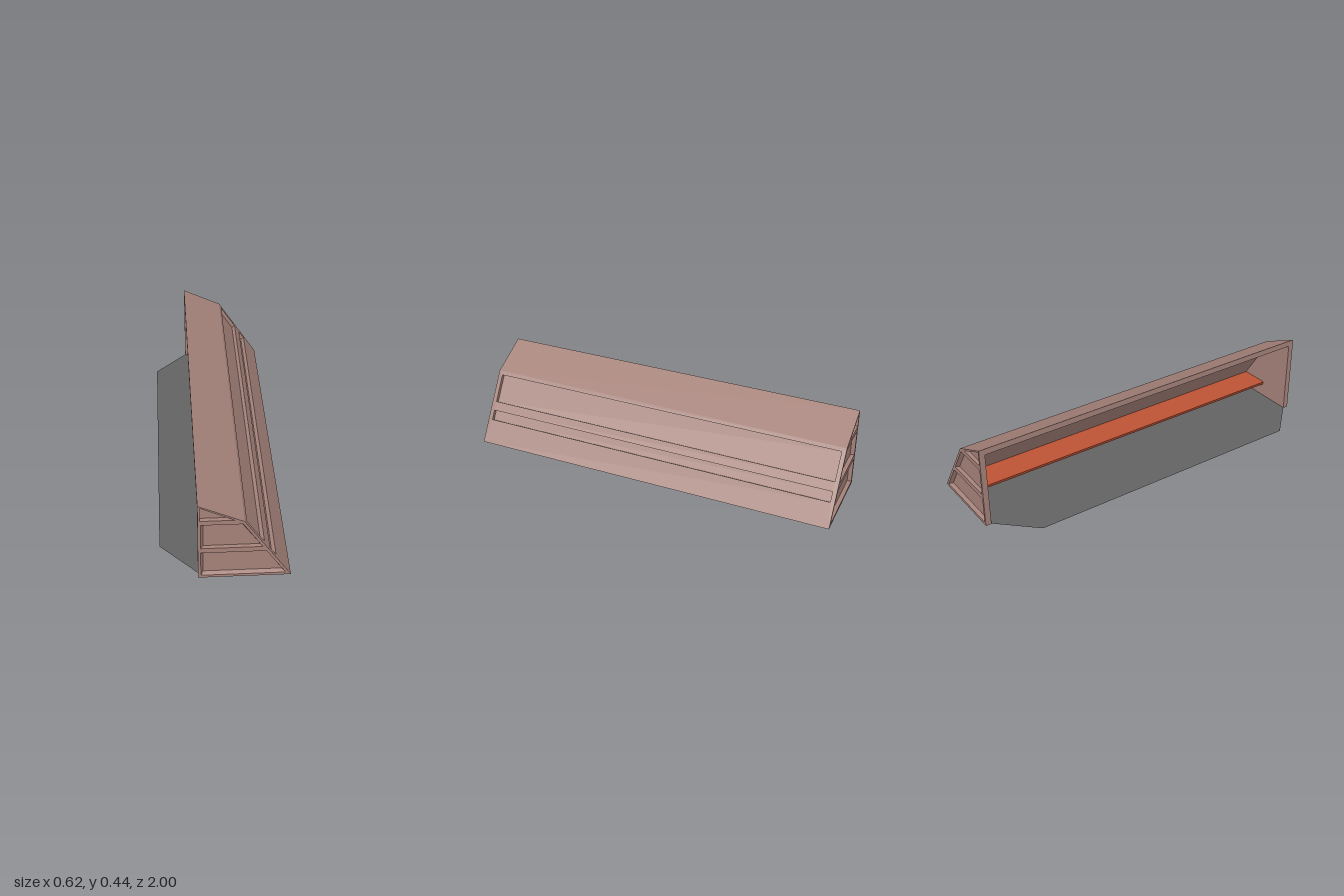
import * as THREE from 'three';
import { mergeGeometries } from 'three/addons/utils/BufferGeometryUtils.js';

const V = (x, y, z = 0) => new THREE.Vector3(x, y, z);
const toShape = (pts) => new THREE.Shape(pts.map(([x, y]) => new THREE.Vector2(x, y)));
const mirrorX = (pts) => pts.map(([x, y]) => [-x, y]);
const DEPTH = 0.02, HALF = 1, INNER = 0.97, BACK = -0.13;

// Flat face in local xy (facing +z) with sunken, optionally bevelled, recesses
function face(outline, recesses, u, v, origin) {
  const parts = [];
  const add = (g) => {
    g = g.index ? g.toNonIndexed() : g;
    g.deleteAttribute('uv');
    g.deleteAttribute('normal');
    parts.push(g);
  };
  const shape = toShape(outline);
  for (let [rim, bed] of recesses) {
    if (THREE.ShapeUtils.isClockWise(rim.map(([x, y]) => ({ x, y })))) {
      rim = [...rim].reverse();
      bed = [...bed].reverse();
    }
    shape.holes.push(toShape(rim));
    add(new THREE.ShapeGeometry(toShape(bed)).translate(0, 0, -DEPTH));
    const walls = [];
    rim.forEach((p, i) => {
      const j = (i + 1) % rim.length;
      const a = [...p, 0], b = [...rim[j], 0], c = [...bed[j], -DEPTH], d = [...bed[i], -DEPTH];
      walls.push(...a, ...b, ...c, ...a, ...c, ...d);
    });
    add(new THREE.BufferGeometry().setAttribute('position', new THREE.Float32BufferAttribute(walls, 3)));
  }
  add(new THREE.ShapeGeometry(shape));
  const n = u.clone().cross(v);
  const geo = mergeGeometries(parts);
  geo.applyMatrix4(new THREE.Matrix4().makeBasis(u, v, n).setPosition(origin));
  geo.computeVertexNormals();
  return geo;
}

const rect = (w, y0, y1) => [[-w, y0], [w, y0], [w, y1], [-w, y1]];

// Long strip along z from profile point a to b
function strip(a, b, half, recesses = []) {
  const d = V(b[0] - a[0], b[1] - a[1]);
  return face(rect(half, 0, d.length()), recesses, V(0, 0, -1), d.clone().normalize(), V(a[0], a[1]));
}

// U-shaped wall edge around an opening
const uShape = (h, hIn) => [[-HALF, 0], [-INNER, 0], [-INNER, hIn], [INNER, hIn],
  [INNER, 0], [HALF, 0], [HALF, h], [-HALF, h]];

export function createModel() {
  const group = new THREE.Group();
  const mat = (color) => new THREE.MeshStandardMaterial({ color, side: THREE.DoubleSide, flatShading: true });
  const wallMat = mat(0xa5827a), floorMat = mat(0x626262), shelfMat = mat(0xbd5235);
  const add = (name, geo, material) => {
    const mesh = new THREE.Mesh(geo, material);
    mesh.name = name;
    group.add(mesh);
  };

  // Cross-section of the shell, outside and inside
  const toe = [0.31, 0], knee = [0.085, 0.343], peak = [BACK, 0.443], heel = [BACK, 0];
  const toeIn = [0.274, 0], kneeIn = [0.064, 0.32], peakIn = [BACK, 0.41];
  const outer = [heel, toe, knee, peak], inner = [heel, toeIn, kneeIn, peakIn];

  // Recesses of the end walls: rim and bed outlines
  const endRecesses = [
    [[[-0.117, 0.015], [0.284, 0.015], [0.19, 0.157], [-0.117, 0.157]],
      [[-0.105, 0.023], [0.268, 0.023], [0.181, 0.156], [-0.105, 0.156]]],
    [[[-0.117, 0.185], [0.172, 0.185], [0.079, 0.328], [-0.117, 0.328]],
      [[-0.105, 0.186], [0.162, 0.186], [0.075, 0.314], [-0.105, 0.314]]],
    [[[-0.12, 0.353], [0.04, 0.353], [-0.12, 0.43]],
      [[-0.119, 0.354], [0.038, 0.354], [-0.119, 0.429]]],
  ];

  // End walls, outside and inside faces
  const X = V(1, 0, 0), XN = V(-1, 0, 0), Y = V(0, 1, 0);
  const mirrored = endRecesses.map((r) => r.map(mirrorX));
  add('frontEndWall', mergeGeometries([
    face(outer, endRecesses, X, Y, V(0, 0, HALF)),
    face(mirrorX(inner), [], XN, Y, V(0, 0, INNER))]), wallMat);
  add('backEndWall', mergeGeometries([
    face(mirrorX(outer), mirrored, XN, Y, V(0, 0, -HALF)),
    face(inner, [], X, Y, V(0, 0, -INNER))]), wallMat);

  // Sloping side wall with two long recesses
  const rise = 0.343 / Math.hypot(0.225, 0.343);
  const bands = [[0.11, 0.155], [0.197, 0.325]].map(([lo, hi]) => {
    const r = rect(0.977, lo / rise, hi / rise);
    return [r, r];
  });
  add('slopingWall', mergeGeometries([
    strip(toe, knee, HALF, bands), strip(kneeIn, toeIn, INNER)]), wallMat);

  // Roof
  add('roof', mergeGeometries([
    strip(knee, peak, HALF), strip(peakIn, kneeIn, INNER)]), wallMat);

  // Wall edges around the open side and along the bottom
  add('openingEdge', face(uShape(0.443, 0.41), [], V(0, 0, 1), Y, V(BACK, 0)), wallMat);
  add('bottomEdge', face(uShape(0.44, 0.404), [], V(0, 0, -1), X, V(BACK, 0)), wallMat);

  // Thin floor reaching out of the open side with cut corners
  add('floor', face([[0.274, -INNER], [0.274, INNER], [BACK, INNER], [-0.31, 0.78],
    [-0.31, -0.78], [BACK, -INNER]], [], X, V(0, 0, -1), V(0, 0.002)), floorMat);

  // Long shelf against the sloping wall
  const shelf = new THREE.ExtrudeGeometry(
    toShape([[0.062, 0.072], [0.227, 0.072], [0.214, 0.091], [0.055, 0.091]]),
    { depth: 2 * INNER, bevelEnabled: false });
  add('shelf', shelf.translate(0, 0, -INNER), shelfMat);

  return group;
}
